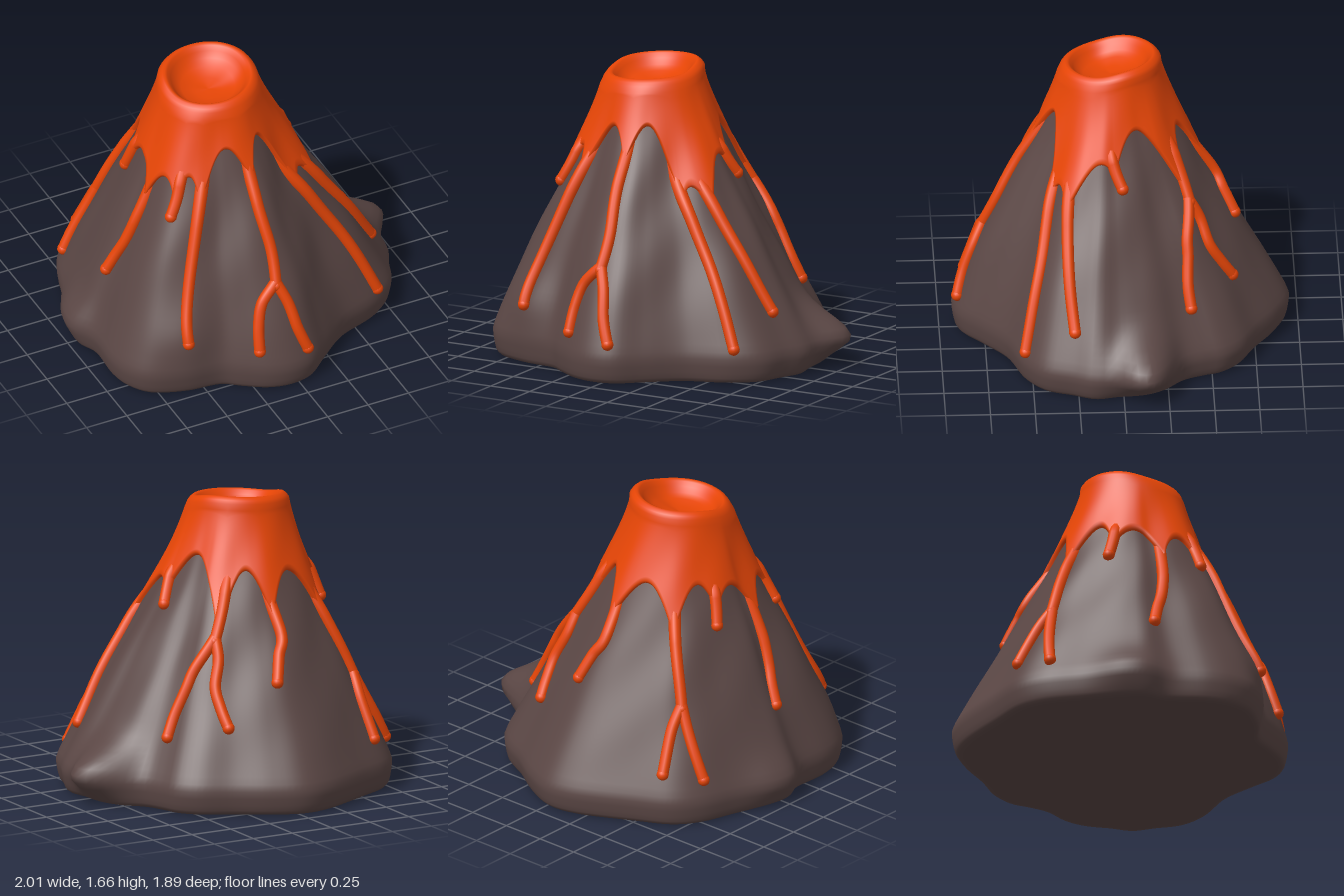
import * as THREE from 'three';

const AX = -0.15, AZ = 0.04; // vertical axis through the crater
const TAU = Math.PI * 2;

// Footprint of the mountain as [x, z] corners
const FOOT = [
  [-0.02, -0.95], [-0.18, -0.93], [-0.51, -0.77], [-0.71, -0.66], [-0.81, -0.53], [-0.88, -0.32],
  [-0.95, -0.07], [-0.965, 0.05], [-0.925, 0.16], [-0.93, 0.4], [-0.9, 0.53], [-0.82, 0.64],
  [-0.62, 0.72], [-0.41, 0.75], [-0.31, 0.82], [-0.18, 0.9], [-0.05, 0.93], [0.08, 0.905],
  [0.22, 0.79], [0.4, 0.65], [0.66, 0.55], [0.79, 0.44], [0.85, 0.29], [0.9, 0.16],
  [0.87, 0.03], [0.84, -0.1], [0.79, -0.24], [0.69, -0.36], [0.64, -0.48], [0.61, -0.57],
  [0.52, -0.67], [0.35, -0.76], [0.16, -0.88],
];
// Boulder-like bulges: [angle, height, amount, angular width, vertical width]
const BULGES = [[-0.16, 0.19, 0.19, 0.145, 0.13], [-3.02, 0.16, 0.05, 0.22, 0.12], [2.15, 0.33, 0.035, 0.2, 0.16]];
const angleOf = (x, z) => Math.atan2(z - AZ, x - AX);
const wrap = (a) => ((a % TAU) + TAU) % TAU;

// Footprint as a polar table, looked up by angle
const polar = new THREE.CatmullRomCurve3(FOOT.map(([x, z]) => new THREE.Vector3(x, 0, z)), true)
  .getPoints(330)
  .map((p) => [wrap(angleOf(p.x, p.z)), Math.hypot(p.x - AX, p.z - AZ)])
  .sort((a, b) => a[0] - b[0]);
function footRadius(theta) {
  const a = wrap(theta);
  let j = polar.findIndex((p) => p[0] > a);
  if (j < 0) j = 0;
  const p = polar[(j + polar.length - 1) % polar.length], q = polar[j];
  const span = wrap(q[0] - p[0]) || 1;
  return THREE.MathUtils.lerp(p[1], q[1], wrap(a - p[0]) / span);
}

// Point on the mountainside at an angle and height, pushed out by an offset
function slope(theta, y, offset = 0) {
  const s = THREE.MathUtils.clamp((1.6 - y) / 1.45, 0, 1);
  let t = s ** 1.2 + Math.sin(Math.PI * s) * s * (0.05 + 0.11 * Math.max(0, Math.sin(theta)));
  if (y < 0.15) t -= 0.04 * ((0.15 - y) / 0.15) ** 2;
  let r = 0.255 + (footRadius(theta) - 0.255) * t + offset;
  for (const [angle, height, amount, wide, tall] of BULGES) {
    const d = wrap(theta - angle + Math.PI) - Math.PI;
    r += amount * Math.exp(-((d / wide) ** 2) - ((y - height) / tall) ** 2);
  }
  // Gentle unevenness of the rock
  r += 0.008 * Math.sin(Math.PI * s) * Math.sin(theta * 7 + y * 5) * Math.sin(y * 6 + theta);
  return new THREE.Vector3(AX + r * Math.cos(theta), y, AZ + r * Math.sin(theta));
}

// Closed rings joined into one smooth skin
function loft(rows, segments, point) {
  const pos = [], index = [];
  for (let i = 0; i < rows; i++) {
    for (let j = 0; j < segments; j++) {
      pos.push(...point(i, (j / segments) * TAU - Math.PI).toArray());
      if (i === rows - 1) continue;
      const k = (j + 1) % segments;
      const a = i * segments + j, b = i * segments + k;
      index.push(a, a + segments, b, b, a + segments, b + segments);
    }
  }
  const g = new THREE.BufferGeometry();
  g.setAttribute('position', new THREE.Float32BufferAttribute(pos, 3));
  g.setIndex(index);
  g.computeVertexNormals();
  return g;
}

// Lower edge of the lava cap: [degrees, low point, height of the arch to the next]
const EDGE = [
  [-160, 1.08, 1.24], [-127, 0.97, 1.25], [-82, 1.0, 1.27], [-48, 0.93, 1.33], [-1, 1.1, 1.17],
  [27, 0.9, 1.04], [43, 0.93, 1.35], [82, 1.12, 1.34], [121, 1.02, 1.2], [139, 1.06, 1.17], [163.5, 1.0, 1.2],
];
function capEdge(theta) {
  let deg = THREE.MathUtils.radToDeg(theta);
  if (deg < EDGE[0][0]) deg += 360;
  let i = EDGE.length - 1;
  while (EDGE[i][0] > deg) i--;
  const [a, lowA, arch] = EDGE[i];
  const next = EDGE[(i + 1) % EDGE.length];
  const b = next[0] + (i === EDGE.length - 1 ? 360 : 0);
  const u = (deg - a) / (b - a);
  const low = THREE.MathUtils.lerp(lowA, next[1], u);
  return low + (arch - (lowA + next[1]) / 2) * (1 - (2 * u - 1) ** 2) ** 0.8;
}

// Lava runs as [x, z, y] stops; x and z give the direction, y the height
const RUNS = {
  front: [[-0.09, 0.4, 1.34], [-0.1, 0.48, 1.05], [-0.08, 0.58, 0.8], [-0.09, 0.65, 0.61]],
  frontForkRight: [[-0.09, 0.64, 0.63], [-0.17, 0.7, 0.53], [-0.21, 0.78, 0.4], [-0.225, 0.84, 0.26]],
  frontForkLeft: [[-0.09, 0.64, 0.63], [-0.045, 0.72, 0.51], [-0.005, 0.83, 0.36], [0.05, 0.91, 0.23]],
  frontRight: [[-0.34, 0.38, 1.25], [-0.38, 0.42, 1.12], [-0.47, 0.52, 0.88], [-0.56, 0.62, 0.66], [-0.61, 0.69, 0.48], [-0.61, 0.73, 0.34]],
  shortFrontRight: [[-0.42, 0.29, 1.26], [-0.465, 0.33, 1.1], [-0.515, 0.355, 0.99]],
  right: [[-0.5, 0.15, 1.24], [-0.64, 0.165, 0.92], [-0.71, 0.15, 0.74], [-0.77, 0.12, 0.62], [-0.83, 0.1, 0.52]],
  shortRight: [[-0.48, -0.07, 1.26], [-0.53, -0.1, 1.12], [-0.57, -0.13, 1.02]],
  backRight: [[-0.42, -0.33, 1.22], [-0.5, -0.4, 0.97], [-0.58, -0.45, 0.75], [-0.61, -0.465, 0.63]],
  backRightForkA: [[-0.605, -0.46, 0.65], [-0.68, -0.485, 0.5], [-0.82, -0.51, 0.26]],
  backRightForkB: [[-0.605, -0.46, 0.65], [-0.59, -0.53, 0.52], [-0.63, -0.65, 0.3]],
  back: [[-0.07, -0.4, 1.24], [-0.1, -0.52, 0.95], [-0.05, -0.59, 0.83], [0, -0.67, 0.7]],
  backLeft: [[0.12, -0.3, 1.28], [0.19, -0.36, 1.08], [0.26, -0.4, 0.91]],
  backLeftForkA: [[0.255, -0.395, 0.93], [0.255, -0.44, 0.82], [0.33, -0.52, 0.68], [0.31, -0.56, 0.57], [0.28, -0.6, 0.47]],
  backLeftForkB: [[0.255, -0.395, 0.93], [0.35, -0.36, 0.77], [0.42, -0.37, 0.66], [0.48, -0.36, 0.52], [0.55, -0.385, 0.4]],
  shortLeft: [[0.2, 0.06, 1.27], [0.27, 0.03, 1.15], [0.35, -0.01, 1.06]],
  left: [[0.22, 0.26, 1.12], [0.33, 0.28, 0.97], [0.48, 0.28, 0.72], [0.6, 0.27, 0.52], [0.71, 0.26, 0.37]],
  frontLeft: [[0.14, 0.33, 1.17], [0.22, 0.38, 1.02], [0.32, 0.41, 0.84], [0.43, 0.44, 0.64], [0.53, 0.48, 0.42], [0.65, 0.54, 0.2]],
};

export function createModel() {
  const rock = new THREE.MeshStandardMaterial({ color: 0x5b4745 });
  rock.name = 'brown rock';
  const lava = new THREE.MeshStandardMaterial({ color: 0xe64506 });
  lava.name = 'orange lava';

  const model = new THREE.Group();
  model.name = 'volcano';
  const add = (name, geometry, material, parent = model) => {
    const mesh = new THREE.Mesh(geometry, material);
    mesh.name = name;
    parent.add(mesh);
    return mesh;
  };

  // Mountain: flat underside, rounded foot, concave slopes
  const levels = [0.0, 0.004, 0.015, 0.03, 0.06];
  for (let y = 0.1; y < 1.47; y += 0.04) levels.push(y);
  add('mountain', loft(levels.length + 2, 180, (i, theta) => {
    if (i === 0) return new THREE.Vector3(AX, 0, AZ);
    if (i > levels.length) return new THREE.Vector3(AX, 1.45, AZ);
    const p = slope(theta, levels[i - 1]);
    if (i < 4) { // turn the bottom edge under
      const k = [0, 0.965, 0.985, 0.995][i];
      p.x = AX + (p.x - AX) * k;
      p.z = AZ + (p.z - AZ) * k;
    }
    return p;
  }), rock);

  // Lava cap: scalloped skirt, uneven rounded rim and shallow crater bowl
  const crater = [[0.283, -0.034], [0.27, -0.016], [0.254, -0.003], [0.24, 0], [0.226, -0.008], [0.208, -0.032], [0.185, -0.062], [0.15, -0.086], [0.08, -0.104], [0, -0.108]];
  const skirt = 18;
  add('lavaCap', loft(skirt + crater.length, 360, (i, theta) => {
    const rise = 0.014 * Math.cos(theta) - 0.028 * Math.tanh(Math.sin(theta) * 2.2);
    const rimY = 1.625 + rise;
    if (i >= skirt) {
      const [r, dy] = crater[i - skirt];
      const y = 1.625 + rise * Math.min(1, r / 0.22) + dy;
      return new THREE.Vector3(AX + r * Math.cos(theta), y, AZ + r * Math.sin(theta));
    }
    const low = capEdge(theta);
    if (i === 0) return slope(theta, low - 0.008, -0.012);
    if (i === 1) return slope(theta, low, 0.012);
    const u = (i - 2) / (skirt - 3);
    return slope(theta, THREE.MathUtils.lerp(low + 0.016, rimY - 0.07, u), 0.028);
  }), lava);

  // Lava streams: tapered tubes hugging the slope, with round ends; those from the cap rise out of it
  const streams = new THREE.Group();
  streams.name = 'lavaStreams';
  model.add(streams);
  for (const [name, stops] of Object.entries(RUNS)) {
    const sink = name.includes('Fork') ? 0 : 0.04;
    const flat = new THREE.SplineCurve(stops.map(([x, z, y]) => new THREE.Vector2(angleOf(x, z), y)));
    const path = new THREE.CatmullRomCurve3(flat.getPoints(24).map((p, i) =>
      slope(p.x, p.y, 0.01 - sink * (1 - THREE.MathUtils.smoothstep(i / 24, 0, 0.35)))));
    const steps = 48, sides = 12, radius = 0.032;
    const tube = new THREE.TubeGeometry(path, steps, radius, sides);
    const pos = tube.attributes.position, v = new THREE.Vector3();
    for (let i = 0; i <= steps; i++) {
      const c = path.getPointAt(i / steps);
      const k = sink ? 1 + 0.35 * Math.exp((-i / steps) * 4) : 1;
      for (let j = 0; j <= sides; j++) {
        const n = i * (sides + 1) + j;
        v.fromBufferAttribute(pos, n).sub(c).multiplyScalar(k).add(c);
        pos.setXYZ(n, v.x, v.y, v.z);
      }
    }
    add(name + 'Stream', tube, lava, streams);
    add(name + 'Drip', new THREE.SphereGeometry(0.034, 16, 12), lava, streams).position.copy(path.getPoint(1));
  }
  return model;
}
